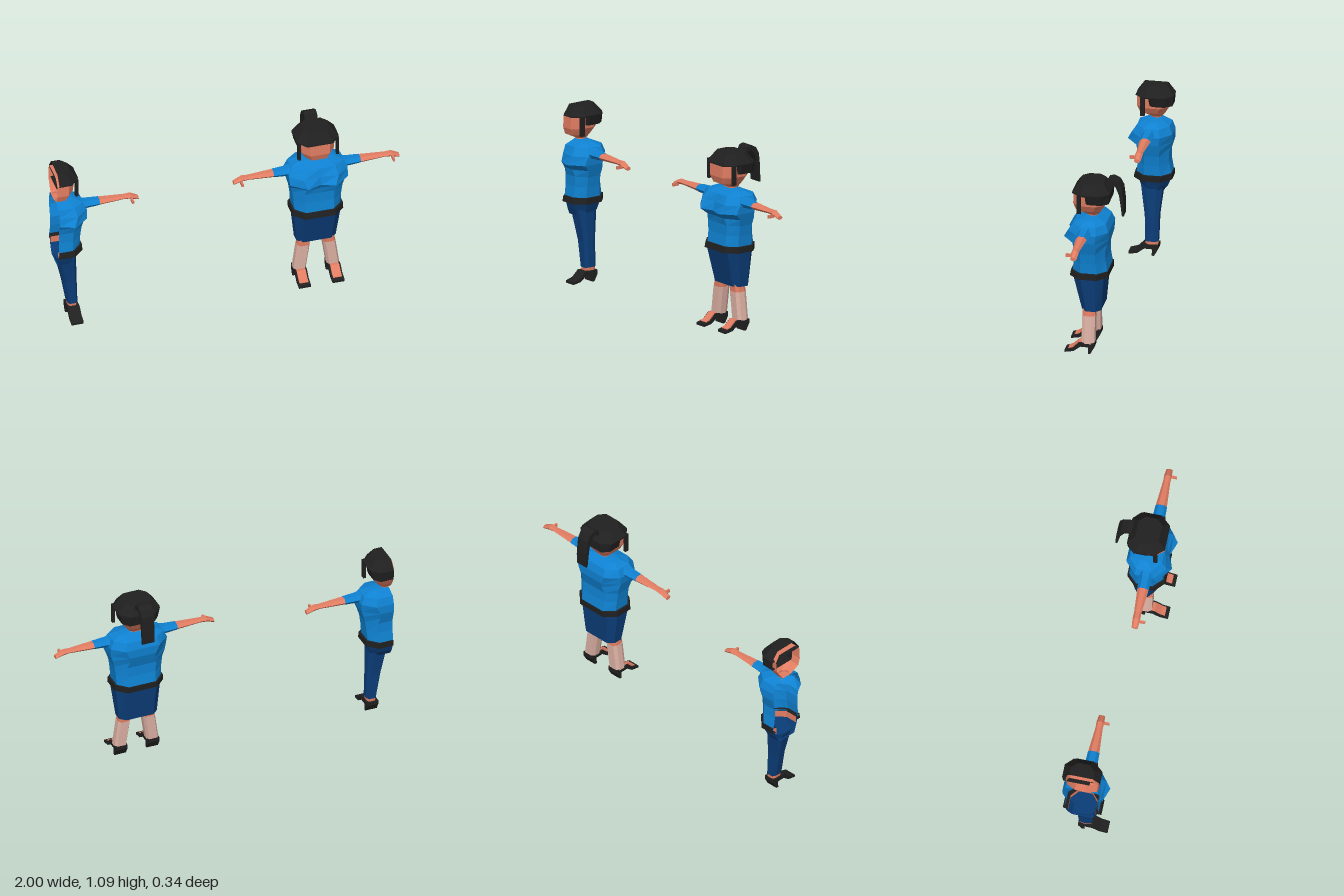
import * as THREE from 'three';

function material(name, color) {
  const m = new THREE.MeshStandardMaterial({ color, flatShading: true, side: THREE.DoubleSide });
  m.name = name;
  return m;
}

// Skin over a list of rings; open rings make a shell cut at the middle
function loft(rings, closed = true, capStart = true, capEnd = true) {
  const n = rings[0].length, idx = [];
  const last = rings.length - 1;
  for (let i = 0; i < last; i++) {
    for (let j = 0; j < (closed ? n : n - 1); j++) {
      const k = (j + 1) % n, a = i * n, b = a + n;
      idx.push(a + j, a + k, b + k, a + j, b + k, b + j);
    }
  }
  for (let j = 1; j < n - 1; j++) {
    if (capStart) idx.push(0, j + 1, j);
    if (capEnd) idx.push(last * n, last * n + j, last * n + j + 1);
  }
  const g = new THREE.BufferGeometry();
  g.setAttribute('position', new THREE.Float32BufferAttribute(rings.flat(2), 3));
  g.setIndex(idx);
  const flat = g.toNonIndexed();
  flat.computeVertexNormals();
  return flat;
}

// Chamfered level section: height, half width, front, back, chamfer, middle front, centre x
function section([y, w, f, b, c = 0.6, mf = f, cx = 0], half = false, seam = 0) {
  const d = (f - b) * 0.26;
  const side = [[c * w, y, f], [w, y, f - d], [w, y, b + d], [c * w, y, b]];
  const mirror = side.map(([x, yy, z]) => [-x, yy, z]).reverse();
  const ring = [[seam, y, mf], ...side, [seam, y, b]];
  if (!half) ring.push(...mirror);
  return ring.map(([x, yy, z]) => [x + cx, yy, z]);
}

// Six-sided section across an arm: x, centre y, radius y, radius z
function armRing([x, cy, ry, rz]) {
  return Array.from({ length: 6 }, (_, i) => {
    const t = (i + 0.5) * Math.PI / 3;
    return [x, cy + ry * Math.cos(t) * 1.15, 0.037 + rz * Math.sin(t)];
  });
}

// Side outline of (z, y) points, given a width along x
function sideExtrude(points, width, cx = 0) {
  const shape = new THREE.Shape(points.map(p => new THREE.Vector2(...p)));
  const g = new THREE.ExtrudeGeometry(shape, { depth: width, bevelEnabled: false });
  g.translate(0, 0, -width / 2);
  g.rotateY(-Math.PI / 2);
  g.translate(cx, 0, 0);
  return g;
}

export function createModel() {
  const skin = material('skin', 0xe27d62);
  const shirt = material('shirt blue', 0x0f82d2);
  const navy = material('navy cloth', 0x0b3d78);
  const black = material('black hair and leather', 0x202020);
  const stocking = material('stocking', 0xdcb0a3);

  function add(parent, name, geometry, mat) {
    const m = new THREE.Mesh(geometry, mat);
    m.name = name;
    parent.add(m);
  }

  // Limbs of one side, on +x
  function limbs(skirted) {
    const g = new THREE.Group();
    g.name = 'limbs';
    const arm = rows => loft(rows.map(armRing));
    add(g, 'sleeve', arm([[0.13, 0.795, 0.036, 0.046], [0.18, 0.798, 0.024, 0.036], [0.254, 0.798, 0.019, 0.033]]), shirt);
    add(g, 'forearm', arm([[0.254, 0.798, 0.018, 0.032], [0.4, 0.797, 0.011, 0.021],
      [0.437, 0.796, 0.014, 0.022], [0.484, 0.777, 0.01, 0.018]]), skin);
    const thumb = new THREE.BoxGeometry(0.012, 0.018, 0.04);
    thumb.translate(0.442, 0.782, 0.068);
    add(g, 'thumb', thumb, skin);

    // Leg
    const leg = rows => loft(rows.map(r => section(r)));
    if (skirted) {
      add(g, 'knee', leg([[0.262, 0.036, 0.058, -0.013, 0.7, 0.058, 0.075], [0.33, 0.034, 0.058, -0.013, 0.7, 0.058, 0.066]]), skin);
      add(g, 'stocking', leg([[0.105, 0.036, 0.06, -0.013, 0.7, 0.06, 0.098], [0.265, 0.037, 0.06, -0.014, 0.7, 0.06, 0.075]]), stocking);
      add(g, 'instep', sideExtrude([[0.05, 0.112], [0.077, 0.113], [0.112, 0.08], [0.136, 0.07],
        [0.134, 0.06], [0.1, 0.07]], 0.052, 0.098), skin);
    } else {
      add(g, 'trouserLeg', leg([[0.128, 0.03, 0.063, -0.012, 0.65, 0.063, 0.098],
        [0.28, 0.041, 0.066, -0.014, 0.65, 0.066, 0.082], [0.46, 0.057, 0.09, -0.034, 0.65, 0.09, 0.058]]), navy);
      add(g, 'ankle', leg([[0.1, 0.027, 0.058, -0.01, 0.65, 0.058, 0.098], [0.13, 0.027, 0.06, -0.01, 0.65, 0.06, 0.098]]), skin);
    }

    // Heeled shoe
    add(g, 'shoe', sideExtrude([[-0.014, 0.11], [-0.014, 0.085], [0.008, 0.045], [0.022, 0.045], [0.02, 0.084],
      [0.065, 0.085], [0.105, 0.055], [0.155, 0.046], [0.155, 0.06], [0.11, 0.074], [0.073, 0.11]], 0.07, 0.098), black);
    return g;
  }

  function figure(name, half) {
    const g = new THREE.Group();
    g.name = name;
    const body = (rows, start = true, end = true, seam = 0) =>
      loft(rows.map(r => section(r, half, half ? seam : 0)), !half, start, end);

    // Shirt with bust
    add(g, 'shirt', body([[0.52, 0.133, 0.12, -0.083], [0.6, 0.139, 0.11, -0.07], [0.66, 0.147, 0.11, -0.068],
      [0.7, 0.158, 0.122, -0.08, 0.48, 0.118], [0.735, 0.168, 0.168, -0.09, 0.48, 0.14],
      [0.785, 0.172, 0.142, -0.09, 0.6, 0.128], [0.83, 0.152, 0.112, -0.073, 0.6],
      [0.85, 0.105, 0.06, -0.028], [0.856, 0.05, 0.05, -0.015]], false), shirt);

    // Belt
    add(g, 'belt', body([[0.503, 0.122, 0.1, -0.06], [0.503, 0.148, 0.133, -0.086],
      [0.538, 0.147, 0.126, -0.086], [0.538, 0.125, 0.1, -0.06]], false, false), black);

    // Neck and head
    add(g, 'neck', body([[0.84, 0.04, 0.045, -0.015], [0.872, 0.04, 0.045, -0.015]], false, false), skin);
    add(g, 'head', body([[0.862, 0.044, 0.045, -0.018], [0.89, 0.07, 0.107, -0.038], [0.93, 0.094, 0.12, -0.062],
      [1.0, 0.1, 0.118, -0.07], [1.04, 0.075, 0.085, -0.045]], true, true, -0.01), skin);

    // Hair: crown, back and side locks
    add(g, 'hairCrown', body([[1.0, 0.122, 0.125, -0.09], [1.008, 0.124, 0.123, -0.092], [1.062, 0.08, 0.085, -0.05]]), black);
    add(g, 'hairBack', body([[0.948, 0.108, 0.065, -0.086, 0.7], [1.005, 0.12, 0.068, -0.091, 0.65]]), black);
    for (const s of half ? [1] : [-1, 1]) {
      const lock = new THREE.BoxGeometry(0.016, 0.115, 0.024);
      lock.translate(s * 0.112, 0.951, 0.078);
      add(g, 'sideLock', lock, black);
    }

    if (half) {
      add(g, 'waist', body([[0.49, 0.119, 0.098, -0.058], [0.53, 0.119, 0.098, -0.058]], false, false), skin);
      add(g, 'trouserSeat', body([[0.425, 0.108, 0.085, -0.035], [0.46, 0.12, 0.097, -0.06],
        [0.505, 0.136, 0.11, -0.075]], true, false), navy);
    } else {
      add(g, 'skirt', body([[0.297, 0.115, 0.065, -0.046, 0.7], [0.505, 0.137, 0.112, -0.063, 0.7]], false, false), navy);
      add(g, 'ponytail', sideExtrude([[-0.05, 1.035], [-0.06, 1.05], [-0.073, 1.077], [-0.1, 1.085], [-0.135, 1.067],
        [-0.155, 1.03], [-0.164, 0.95], [-0.165, 0.863], [-0.155, 0.863], [-0.147, 0.93], [-0.138, 0.99],
        [-0.118, 1.04], [-0.093, 1.055], [-0.07, 1.035]], 0.075), black);
    }

    // Limbs, mirrored on the whole figure
    g.add(limbs(!half));
    if (!half) {
      const other = limbs(true);
      other.scale.x = -1;
      g.add(other);
    }
    return g;
  }

  const model = new THREE.Group();
  const skirted = figure('skirtedWoman', false);
  skirted.position.set(0.513, 0, 0);
  const trousered = figure('trouseredHalfWoman', true);
  trousered.position.set(-0.99, -0.045, -0.076);
  model.add(skirted, trousered);
  return model;
}
